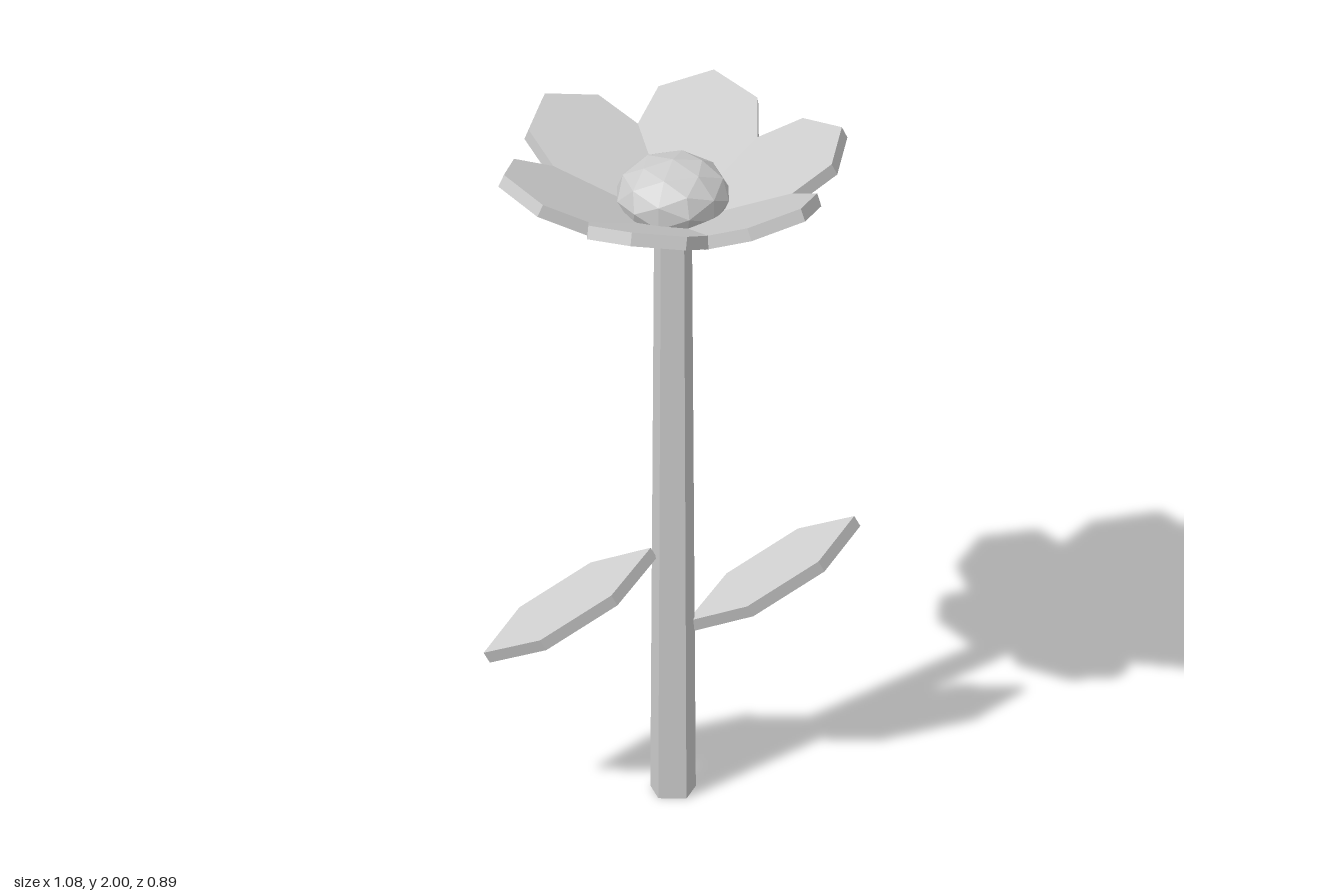
import * as THREE from 'three';

const T = 0.038; // blade thickness

// Flat slab lying in xz, mirrored about x; points are [along, halfWidth]
function blade(points) {
  const other = points.filter((p) => p[1] > 0).reverse().map(([u, w]) => [u, -w]);
  const shape = new THREE.Shape([...points, ...other].map(([u, w]) => new THREE.Vector2(u, w)));
  const geo = new THREE.ExtrudeGeometry(shape, { depth: T, bevelEnabled: false });
  return geo.translate(0, 0, -T).rotateX(-Math.PI / 2);
}

export function createModel() {
  const group = new THREE.Group();
  const grey = new THREE.MeshStandardMaterial({ color: 0xcccccc, flatShading: true });
  grey.name = 'plain grey';

  const add = (name, geo, parent = group) => {
    const mesh = new THREE.Mesh(geo, grey);
    mesh.name = name;
    parent.add(mesh);
    return mesh;
  };

  // Five-sided tapering stem with a corner towards +x
  add('stem', new THREE.CylinderGeometry(0.055, 0.066, 1.75, 5, 1, false, Math.PI / 2)).position.y = 0.875;

  // Two parallel leaves, one rising and one drooping
  const leafGeo = blade([[-0.272, 0], [-0.11, 0.1], [0.122, 0.1], [0.272, 0]]).translate(0, T / 2, 0);
  const leftLeaf = add('leftLeaf', leafGeo);
  leftLeaf.position.set(0.29, 0.631, 0);
  leftLeaf.rotation.z = THREE.MathUtils.degToRad(28);
  const rightLeaf = add('rightLeaf', leafGeo);
  rightLeaf.position.set(-0.295, 0.622, 0);
  rightLeaf.rotation.z = THREE.MathUtils.degToRad(208);

  // Six upturned petals
  const petalGeo = blade([[0.08, 0.05], [0.298, 0.175], [0.458, 0.14], [0.536, 0]]);
  petalGeo.rotateZ(THREE.MathUtils.degToRad(25));
  const petals = new THREE.Group();
  petals.name = 'petals';
  petals.position.y = 1.773;
  for (let i = 0; i < 6; i++) add('petal', petalGeo, petals).rotation.y = (i * Math.PI) / 3;
  group.add(petals);

  // Flattened faceted flower centre
  const centre = add('flowerCentre', new THREE.IcosahedronGeometry(0.16, 1));
  centre.scale.y = 0.68;
  centre.position.y = 1.865;

  return group;
}
